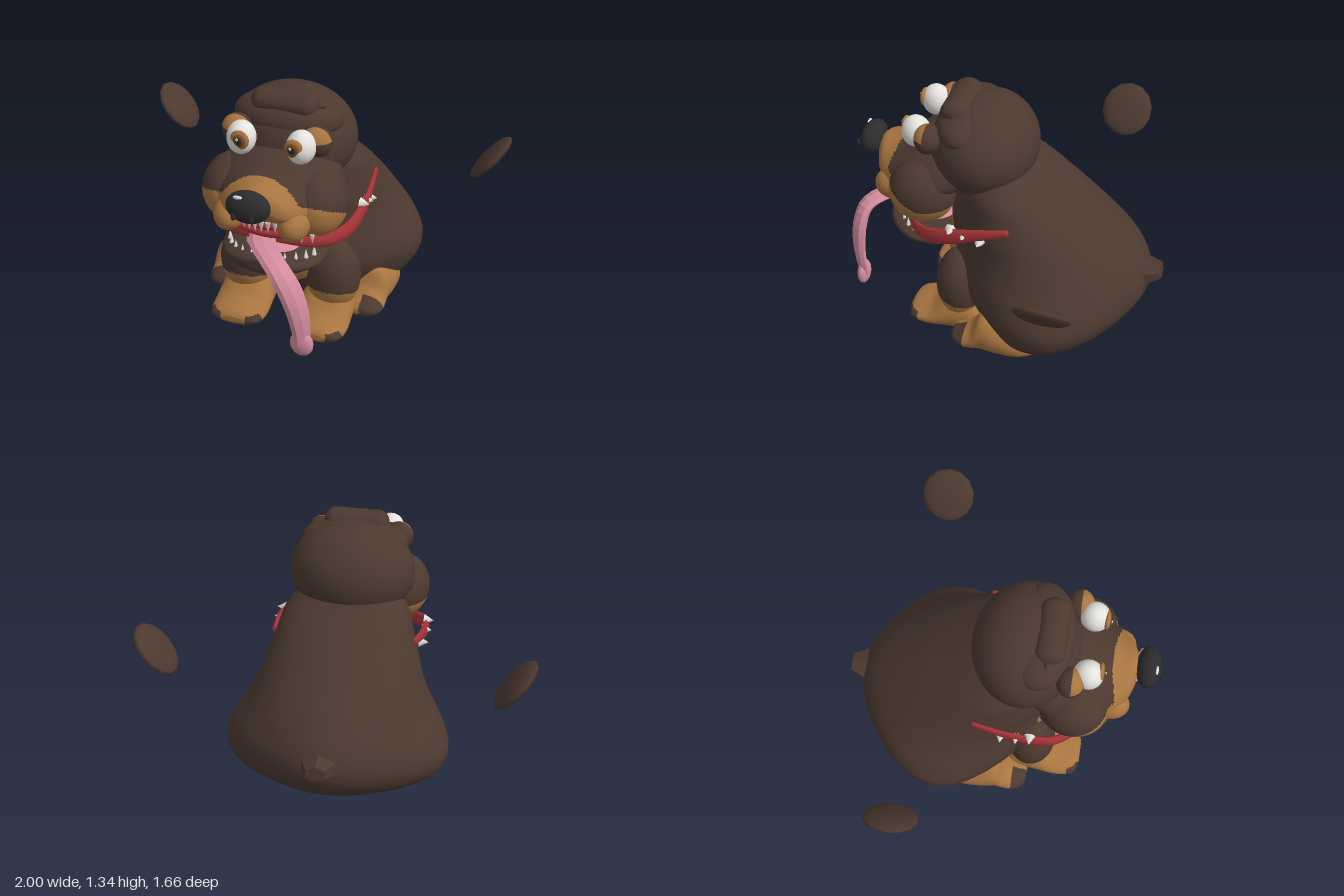
import * as THREE from 'three';

const paint = (name, color) => {
  const m = new THREE.MeshStandardMaterial({ color });
  m.name = name;
  return m;
};

// Catmull-Rom resampling of a table of rows
function smooth(rows, n) {
  const out = [], last = rows.length - 1;
  for (let i = 0; i <= n; i++) {
    const f = (i / n) * last, k = Math.min(Math.floor(f), last - 1), t = f - k;
    const row = (j) => rows[Math.max(0, Math.min(last, j))];
    out.push(rows[0].map((_, c) => {
      const [a, b, d, e] = [row(k - 1)[c], row(k)[c], row(k + 1)[c], row(k + 2)[c]];
      return b + 0.5 * t * (d - a + t * (2 * a - 5 * b + 4 * d - e + t * (3 * (b - d) + e - a)));
    }));
  }
  return out;
}

// Skin over closed rings of points, capped at both ends
function loft(rings) {
  const n = rings[0].length, pos = [], idx = [], last = rings.length - 1;
  rings.forEach((r) => r.forEach((p) => pos.push(p.x, p.y, p.z)));
  for (const r of [rings[0], rings[last]]) {
    const c = r.reduce((s, p) => s.add(p), new THREE.Vector3()).divideScalar(n);
    pos.push(c.x, c.y, c.z);
  }
  const c0 = rings.length * n;
  for (let j = 0; j < n; j++) {
    const k = (j + 1) % n;
    for (let i = 0; i < last; i++) {
      const a = i * n + j, b = i * n + k;
      idx.push(a, b, b + n, a, b + n, a + n);
    }
    idx.push(c0, k, j, c0 + 1, last * n + j, last * n + k);
  }
  const g = new THREE.BufferGeometry();
  g.setAttribute('position', new THREE.Float32BufferAttribute(pos, 3));
  g.setIndex(idx);
  g.computeVertexNormals();
  return g;
}

const ring = (n, f) => Array.from({ length: n }, (_, j) => {
  const a = (j / n) * 2 * Math.PI;
  return f(Math.cos(a), Math.sin(a));
});

// Form built along z; rows are z, low y, high y, half width; taper narrows the top
const zForm = (rows, cx, taper, arch) => loft(smooth(rows, 48).map(([z, lo, hi, w]) =>
  ring(64, (c, s) => new THREE.Vector3(cx + w * c * (1 - taper * s),
    (lo + hi) / 2 + ((hi - lo) / 2) * s + (s < 0 ? arch * s * s : 0), z))));

// Flat band swept along a path; rows are x, y, z, half width, half thickness
function sweep(rows, n, sides, widthDir) {
  const pts = smooth(rows, n), P = pts.map((r) => new THREE.Vector3(r[0], r[1], r[2]));
  return loft(P.map((p, i) => {
    const T = P[Math.min(i + 1, n)].clone().sub(P[Math.max(i - 1, 0)]).normalize();
    const U = widthDir(i / n);
    U.addScaledVector(T, -U.dot(T)).normalize();
    const V = T.clone().cross(U);
    return ring(sides, (c, s) => p.clone().addScaledVector(U, c * pts[i][3]).addScaledVector(V, s * pts[i][4]));
  }));
}

// Gives the second material to the faces whose centre passes the rule
function twoTone(g, rule) {
  const p = g.attributes.position, ix = g.index.array, sets = [[], []];
  for (let i = 0; i < ix.length; i += 3) {
    const t = [ix[i], ix[i + 1], ix[i + 2]];
    const mid = (f) => (p[f](t[0]) + p[f](t[1]) + p[f](t[2])) / 3;
    sets[rule(mid('getX'), mid('getY'), mid('getZ')) ? 1 : 0].push(...t);
  }
  g.setIndex([...sets[0], ...sets[1]]);
  g.addGroup(0, sets[0].length, 0);
  g.addGroup(sets[0].length, sets[1].length, 1);
  return g;
}

export function createModel() {
  const model = new THREE.Group();
  model.name = 'dog';
  const brown = paint('dark brown fur', 0x4c3930), tan = paint('tan fur', 0xa87540);
  const red = paint('red', 0xa83438), pink = paint('tongue pink', 0xd48c9e);
  const white = paint('white', 0xe4e3de), black = paint('nose black', 0x2c2c2e);
  const iris = paint('iris brown', 0x7a4c26);

  const add = (name, g, mat) => {
    const m = new THREE.Mesh(g, mat);
    m.name = name;
    model.add(m);
    return m;
  };
  const blob = (name, mat, c, r, rule, seg = 40) => {
    const g = new THREE.SphereGeometry(1, seg, Math.round(seg * 0.7)).scale(...r).translate(...c);
    return add(name, rule ? twoTone(g, rule) : g, mat);
  };
  const tooth = (name, x, y, z, down, r = 0.013, h = 0.055) => {
    const m = add(name, new THREE.ConeGeometry(r, h, 6), white);
    m.position.set(x, y, z);
    if (down) m.rotation.x = Math.PI;
    return m;
  };

  // Pear-shaped body: height, back z, front z, half width, pinch of front and rump
  const bodyRows = [
    [0.03, -0.27, 0.08, 0.2, 0.2], [0.06, -0.42, 0.15, 0.38, 0.3], [0.11, -0.53, 0.2, 0.48, 0.3],
    [0.2, -0.68, 0.24, 0.56, 0.3], [0.3, -0.755, 0.3, 0.58, 0.3], [0.4, -0.765, 0.33, 0.54, 0.28],
    [0.5, -0.72, 0.33, 0.475, 0.22], [0.6, -0.63, 0.31, 0.425, 0.15], [0.7, -0.515, 0.3, 0.39, 0.08],
    [0.8, -0.39, 0.28, 0.355, 0.05], [0.9, -0.25, 0.25, 0.32, 0.03], [1.0, -0.11, 0.2, 0.24, 0]];
  const body = loft(smooth(bodyRows, 90).map(([y, b, f, w, k]) => ring(128, (c, s) =>
    new THREE.Vector3(w * s * (1 - k * c * c), y, (b + f) / 2 + ((f - b) / 2) * c - 0.2 * k * s * s))));
  add('body', twoTone(body, (x, y, z) => z > 0 && (x / 0.235) ** 2 + ((y - 0.46) / 0.2) ** 2 < 1), [brown, tan]);

  // Stub tail
  const stub = new THREE.CylinderGeometry(0.055, 0.12, 0.12, 6).scale(1, 1, 0.7).toNonIndexed();
  stub.computeVertexNormals();
  const tail = add('tail', stub, brown);
  tail.position.set(0, 0.415, -0.765);
  tail.rotation.x = -1.4;

  // Skull, forehead and brow ridge
  blob('skull', brown, [0, 1.055, 0.13], [0.325, 0.26, 0.275], null, 48);
  blob('forehead', brown, [0, 1.19, 0.2], [0.28, 0.115, 0.165]);
  const ridge = new THREE.CapsuleGeometry(0.06, 0.22, 8, 24).rotateZ(Math.PI / 2).scale(1, 1, 1.25);
  add('browRidge', ridge.translate(0, 1.277, 0.25), brown);

  // Muzzle
  const muzzleRows = [
    [0.15, 0.84, 1.12, 0.25], [0.3, 0.78, 1.12, 0.31], [0.42, 0.76, 1.09, 0.31], [0.52, 0.76, 1.045, 0.26],
    [0.6, 0.77, 1.02, 0.205], [0.66, 0.8, 1.01, 0.15], [0.69, 0.86, 0.99, 0.08]];
  const isMuzzleTan = (x, y, z) => z > 0.56 + x * x || y < 0.8 + Math.max(0, z - 0.38) * 0.55;
  add('muzzle', twoTone(zForm(muzzleRows, 0, 0.22, 0.045), isMuzzleTan), [brown, tan]);

  // Nose
  blob('nose', black, [0, 0.965, 0.745], [0.11, 0.082, 0.065]);
  blob('noseShine', white, [-0.035, 1.028, 0.782], [0.025, 0.01, 0.008], null, 12);

  // Mouth and lower jaw
  blob('mouth', red, [0, 0.715, 0.44], [0.235, 0.055, 0.135]);
  blob('upperGum', red, [0, 0.765, 0.5], [0.12, 0.045, 0.09]);
  const jawRows = [
    [0.2, 0.5, 0.58, 0.17], [0.3, 0.475, 0.595, 0.25], [0.45, 0.477, 0.598, 0.264], [0.55, 0.488, 0.603, 0.215],
    [0.615, 0.51, 0.608, 0.14], [0.64, 0.545, 0.598, 0.06]];
  add('lowerJaw', zForm(jawRows, 0, -0.05, 0), brown);
  blob('jawLining', pink, [0, 0.59, 0.42], [0.14, 0.03, 0.14]);
  for (let i = 0; i < 11; i++) {
    const a = -1.2 + i * 0.24;
    tooth('lowerTooth', 0.24 * Math.sin(a), 0.6, 0.38 + 0.21 * Math.cos(a), false);
  }
  for (let i = 0; i < 6; i++) {
    const x = -0.08 + i * 0.032;
    tooth('upperTooth', x, 0.79, 0.63 - x * x * 3, true, 0.015, 0.065);
  }

  // Tongue hanging out to one side
  const tongueRows = [
    [-0.05, 0.65, 0.42, 0.07, 0.02], [0, 0.665, 0.58, 0.065, 0.022], [0.08, 0.66, 0.68, 0.06, 0.024],
    [0.16, 0.625, 0.75, 0.058, 0.028], [0.22, 0.54, 0.77, 0.06, 0.03], [0.255, 0.43, 0.77, 0.056, 0.028],
    [0.268, 0.33, 0.76, 0.05, 0.024], [0.268, 0.25, 0.75, 0.045, 0.02]];
  const tongueDir = (t) => new THREE.Vector3(1 - 0.35 * t, 0, -0.2 - 0.55 * Math.min(1, t * 1.6));
  const tongue = sweep(tongueRows, 20, 8, tongueDir).toNonIndexed();
  tongue.computeVertexNormals();
  add('tongue', tongue, pink);
  blob('tongueTip', pink, [0.265, 0.247, 0.75], [0.06, 0.07, 0.032], null, 18);

  // Collar, widest at the sides and open at the nape: half height, half thickness
  const half = [
    [0.365, 0.785, -0.1, 0.02, 0.012], [0.385, 0.75, 0.06, 0.036, 0.014], [0.385, 0.712, 0.2, 0.048, 0.018],
    [0.35, 0.668, 0.34, 0.046, 0.02], [0.235, 0.645, 0.45, 0.034, 0.02]];
  const flip = half.map(([x, ...r]) => [-x, ...r]);
  const collar = [...flip, [0, 0.645, 0.48, 0.025, 0.02], ...half.slice().reverse()];
  add('collar', sweep(collar, 50, 8, () => new THREE.Vector3(0, 1, 0)), red);

  // Paws
  const frontPawRows = [
    [0.05, 0.06, 0.11, 0.05], [0.1, 0.03, 0.22, 0.12], [0.19, 0, 0.27, 0.14], [0.27, 0.005, 0.225, 0.147],
    [0.35, 0.015, 0.155, 0.15], [0.43, 0.03, 0.13, 0.14], [0.465, 0.045, 0.115, 0.115], [0.48, 0.065, 0.095, 0.06]];
  const hindPawRows = [
    [-0.3, 0.09, 0.12, 0.04], [-0.24, 0.05, 0.165, 0.085], [-0.16, 0.028, 0.215, 0.115], [-0.05, 0.022, 0.255, 0.118],
    [0.03, 0.022, 0.265, 0.108], [0.08, 0.025, 0.175, 0.105], [0.14, 0.035, 0.135, 0.1], [0.185, 0.05, 0.115, 0.07],
    [0.2, 0.07, 0.095, 0.035]];

  for (const s of [1, -1]) {
    const side = s > 0 ? 'left' : 'right';
    const part = (n) => side + n;

    // Floating ear and its root on the head
    const ear = blob(part('Ear'), brown, [0, 0, 0], [0.152, 0.037, 0.14], null, 14);
    ear.position.set(s * 0.9, 0.79, -0.42);
    ear.rotation.z = s * 0.88;
    const tuft = add(part('EarRoot'), new THREE.ConeGeometry(0.035, 0.07, 5), brown);
    tuft.position.set(s * 0.175, 1.27, 0.24);
    tuft.rotation.z = -s * 1.2;

    // Eye, iris, pupil and lid
    blob(part('Eye'), white, [s * 0.152, 1.155, 0.445], [0.072, 0.085, 0.075]);
    blob(part('IrisRim'), tan, [s * 0.137, 1.17, 0.504], [0.048, 0.05, 0.018], null, 24);
    blob(part('Iris'), iris, [s * 0.135, 1.17, 0.512], [0.034, 0.036, 0.014], null, 24);
    blob(part('Pupil'), black, [s * 0.134, 1.17, 0.518], [0.02, 0.022, 0.011], null, 20);
    blob(part('EyeShine'), white, [s * 0.134 - 0.008, 1.18, 0.527], [0.007, 0.008, 0.004], null, 10);
    blob(part('EyeLid'), [brown, tan], [s * 0.205, 1.155, 0.365], [0.077, 0.077, 0.07],
      (x, y, z) => y > 1.17 && z > 0.37, 56);

    // Cheek, jowl and nostril
    blob(part('Cheek'), [brown, tan], [s * 0.225, 0.85, 0.4], [0.147, 0.172, 0.175], isMuzzleTan, 80);
    blob(part('Jowl'), tan, [s * 0.165, 0.81, 0.58], [0.078, 0.085, 0.1]);
    blob(part('Nostril'), black, [s * 0.045, 0.942, 0.818], [0.013, 0.018, 0.007], null, 12);
    for (const [x, y, z] of [[0.2, 0.725, 0.57], [0.24, 0.71, 0.53]]) tooth(part('Fang'), s * x, y, z, true);

    // Collar studs
    for (const [x, y, z] of [[0.4, 0.755, 0.2], [0.4, 0.735, 0.13], [0.395, 0.705, 0.05]]) {
      const stud = tooth(part('CollarStud'), s * x, y, z, false, 0.03, 0.05);
      stud.rotation.z = -s * Math.PI / 2;
    }

    // Front leg and paw with dark outer toes
    blob(part('FrontLeg'), [brown, tan], [s * 0.24, 0.3, 0.2], [0.145, 0.21, 0.13],
      (x, y, z) => y < 0.2 + (z - 0.1) * 0.25, 64);
    add(part('FrontPaw'), twoTone(zForm(frontPawRows, s * 0.22, 0.1, 0),
      (x, y, z) => Math.abs(x - s * 0.22) > 0.07 && z > 0.415 && y > 0.055 && y < 0.105), [tan, brown]);

    // Hind paw with dark toes
    add(part('HindPaw'), twoTone(zForm(hindPawRows, s * 0.39, 0.08, 0),
      (x, y, z) => z > 0.12 && y > 0.05 && s * x > 0.38), [tan, brown]);
  }
  return model;
}
